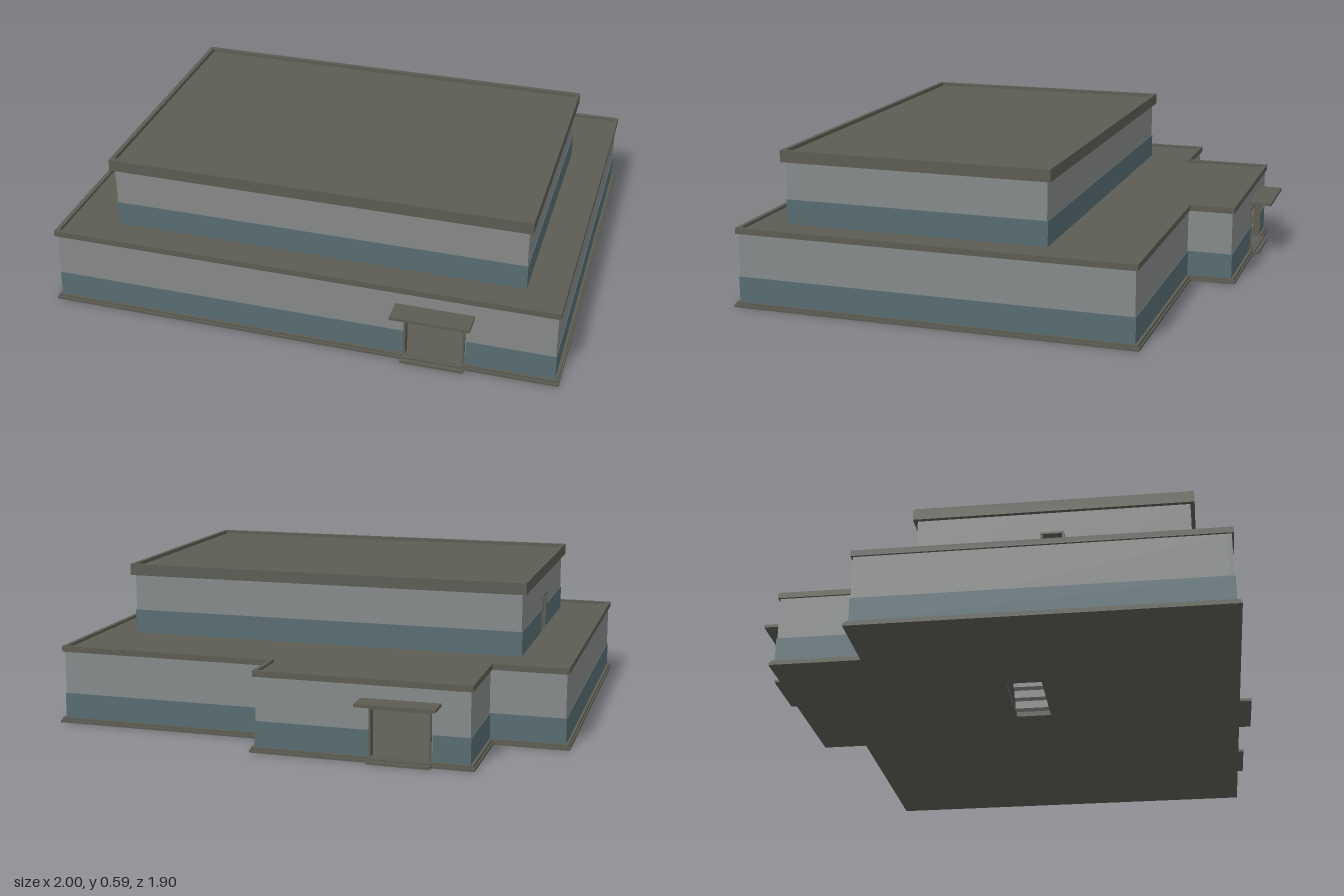
import * as THREE from 'three';

const flat = (name, color) => {
  const m = new THREE.MeshStandardMaterial({ color });
  m.name = name;
  return m;
};

export function createModel() {
  const wallGrey = flat('wall grey', 0x868989);
  const bandTeal = flat('band teal', 0x586c72);
  const trimDark = flat('trim dark', 0x5c5c54);

  const model = new THREE.Group();
  model.name = 'building';

  const add = (parent, name, geometry, material) => {
    const mesh = new THREE.Mesh(geometry, material);
    mesh.name = name;
    parent.add(mesh);
    return mesh;
  };

  // Box given by its lower and upper corners
  const box = (parent, name, mat, x0, x1, y0, y1, z0, z1) =>
    add(parent, name, new THREE.BoxGeometry(x1 - x0, y1 - y0, z1 - z0), mat)
      .position.set((x0 + x1) / 2, (y0 + y1) / 2, (z0 + z1) / 2);

  // Moves every side of a right-angled outline outwards by d
  const offset = (poly, d) => poly.map(([x, z], i) => {
    const p = poly[(i + poly.length - 1) % poly.length];
    const n = poly[(i + 1) % poly.length];
    const nx = Math.sign(z - p[1]) + Math.sign(n[1] - z);
    const nz = -Math.sign(x - p[0]) - Math.sign(n[0] - x);
    return [x + d * nx, z + d * nz];
  });

  // Horizontal slab from an outline in x and z, with optional hole
  const slab = (name, mat, poly, y0, y1, hole) => {
    const points = (list) => list.map(([x, z]) => new THREE.Vector2(x, z));
    const shape = new THREE.Shape(points(poly));
    if (hole) shape.holes.push(new THREE.Path(points(hole)));
    const g = new THREE.ExtrudeGeometry(shape, { depth: y1 - y0, bevelEnabled: false });
    g.rotateX(Math.PI / 2).translate(0, y1, 0);
    add(model, name, g, mat);
  };

  // Local frame of one side: x runs along it, +z points indoors
  const sideGroup = (poly, i, name) => {
    const a = poly[i], b = poly[(i + 1) % poly.length];
    const group = new THREE.Group();
    group.name = name;
    group.position.set(a[0], 0, a[1]);
    group.rotation.y = Math.atan2(a[1] - b[1], b[0] - a[0]);
    model.add(group);
    return [group, Math.hypot(b[0] - a[0], b[1] - a[1])];
  };

  // Walls around an outline, left open at the doors
  const walls = (name, mat, poly, y0, y1, thick, doors) => poly.forEach((_, i) => {
    const [g, length] = sideGroup(poly, i, name);
    const door = doors.find((d) => d.side === i);
    if (!door) return box(g, name, mat, 0, length, y0, y1, 0, thick);
    const s0 = door.at - door.width / 2, s1 = door.at + door.width / 2;
    box(g, name, mat, 0, s0, y0, y1, 0, thick);
    box(g, name, mat, s1, length, y0, y1, 0, thick);
    if (door.top < y1) box(g, name, mat, s0, s1, door.top, y1, 0, thick);
  });

  const doorFrame = (poly, d, floor) => {
    const [g] = sideGroup(poly, d.side, 'doorFrame');
    const s0 = d.at - d.width / 2, s1 = d.at + d.width / 2, w = 0.008;
    box(g, 'jamb', trimDark, s0, s0 + w, floor, d.top, -0.009, 0.022);
    box(g, 'jamb', trimDark, s1 - w, s1, floor, d.top, -0.009, 0.022);
    box(g, 'header', trimDark, s0 + w, s1 - w, d.top - w, d.top, -0.009, 0.022);
  };

  // A storey: walls, coloured band, roof slab and raised rim
  const storey = (label, poly, y, doors, rim, roofHole) => {
    walls(label + 'Wall', wallGrey, poly, y.floor, y.eaves, 0.015, doors);
    walls(label + 'Band', bandTeal, offset(poly, 0.003), y.floor, y.band, 0.003, doors);
    const inner = offset(poly, rim - 0.017);
    slab(label + 'Roof', trimDark, inner, y.eaves, y.roof, roofHole);
    slab(label + 'Parapet', trimDark, offset(poly, rim), y.eaves, y.top, inner);
    doors.forEach((d) => doorFrame(poly, d, y.floor));
  };

  const lower = [[-0.98, -0.505], [-0.692, -0.505], [-0.692, -0.858], [0.117, -0.858],
    [0.117, -0.68], [0.98, -0.68], [0.98, 0.858], [-0.98, 0.858]];
  const upper = [[-0.775, -0.314], [0.835, -0.314], [0.835, 0.722], [-0.775, 0.722]];
  const stairwell = [[-0.43, -0.02], [-0.1, -0.02], [-0.1, 0.12], [-0.43, 0.12]];

  // Plinth and floor, open under the stairs
  slab('plinth', trimDark, offset(lower, 0.02), 0, 0.01, stairwell);
  slab('floor', trimDark, offset(lower, 0.014), 0.01, 0.02, stairwell);

  storey('lower', lower, { floor: 0.02, band: 0.118, eaves: 0.287, roof: 0.299, top: 0.31 }, [
    { side: 2, at: 0.257, width: 0.232, top: 0.205 },
    { side: 6, at: 0.451, width: 0.232, top: 0.205 },
  ], 0.008, stairwell);

  storey('upper', upper, { floor: 0.299, band: 0.395, eaves: 0.542, roof: 0.574, top: 0.588 }, [
    { side: 3, at: 0.52, width: 0.09, top: 0.455 },
  ], 0.016);

  // Canopy and doorstep at the front and back doors
  for (const [x, dir] of [[0.528, 1], [-0.435, -1]]) {
    const span = (a, b) => [Math.min(a * dir, b * dir), Math.max(a * dir, b * dir)];
    box(model, 'canopy', trimDark, x - 0.149, x + 0.149, 0.224, 0.236, ...span(0.85, 0.95));
    box(model, 'doorstep', trimDark, x - 0.12, x + 0.12, 0, 0.01, ...span(0.87, 0.9));
    box(model, 'doorstep', trimDark, x - 0.116, x + 0.116, 0.01, 0.018, ...span(0.865, 0.885));
  }

  // Stairs between the storeys
  const steps = 9, run = 0.33 / steps, rise = 0.279 / steps;
  for (let i = 0; i < steps; i++) {
    box(model, 'stairStep', wallGrey, -0.1 - (i + 1) * run, -0.1 - i * run,
      0.02 + i * rise, 0.02 + (i + 1) * rise, -0.02, 0.12);
  }

  return model;
}
